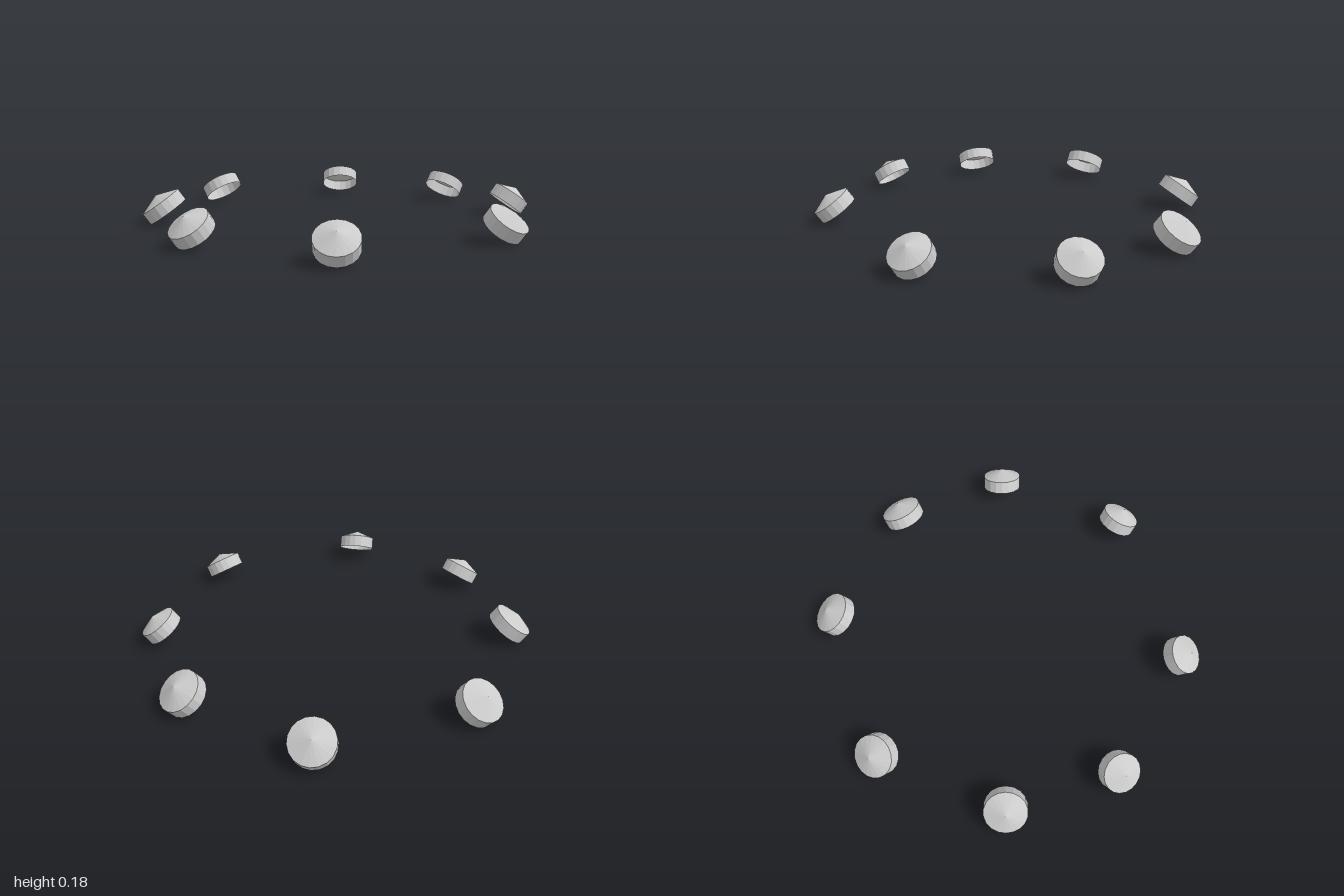
import * as THREE from 'three';

const SIDES = 18;
const WALL = 0.067; // height of the side wall
const PEAK = 0.04; // rise of the shallow cone
const TILT = 0.61; // lean away from the ring centre

// One cap: open-bottomed faceted wall under a shallow cone
function makeCap(radius) {
  const cap = new THREE.Group();
  const wall = new THREE.Mesh(
    new THREE.CylinderGeometry(radius, radius, WALL, SIDES, 1, true),
    new THREE.MeshStandardMaterial({ color: 0xcccccc, side: THREE.DoubleSide, flatShading: true })
  );
  wall.name = 'capWall';

  const cone = new THREE.Mesh(
    new THREE.ConeGeometry(radius, PEAK, SIDES, 1, true),
    new THREE.MeshStandardMaterial({ color: 0xcccccc, side: THREE.DoubleSide, flatShading: true })
  );
  cone.name = 'capCone';
  cone.position.y = (WALL + PEAK) / 2;
  cap.add(wall, cone);
  return cap;
}

export function createModel() {
  const model = new THREE.Group();
  model.name = 'capRing';

  // [name, x, z, radius]; the back caps are slightly larger
  const caps = [
    ['frontLeftCap', 0.43, 0.84, 0.104],
    ['frontRightCap', -0.44, 0.84, 0.104],
    ['sideFrontLeftCap', 0.893, 0.297, 0.104],
    ['sideFrontRightCap', -0.897, 0.29, 0.104],
    ['sideBackLeftCap', 0.88, -0.31, 0.112],
    ['sideBackRightCap', -0.882, -0.313, 0.112],
    ['backLeftCap', 0.406, -0.838, 0.112],
    ['backRightCap', -0.406, -0.841, 0.112],
  ];

  for (const [name, x, z, radius] of caps) {
    const cap = makeCap(radius);
    cap.name = name;
    cap.position.set(x, 0.094, z);
    // Turn to face outward, then lean outward
    cap.rotation.order = 'YXZ';
    cap.rotation.set(TILT, Math.atan2(x, z), 0);
    model.add(cap);
  }
  return model;
}
